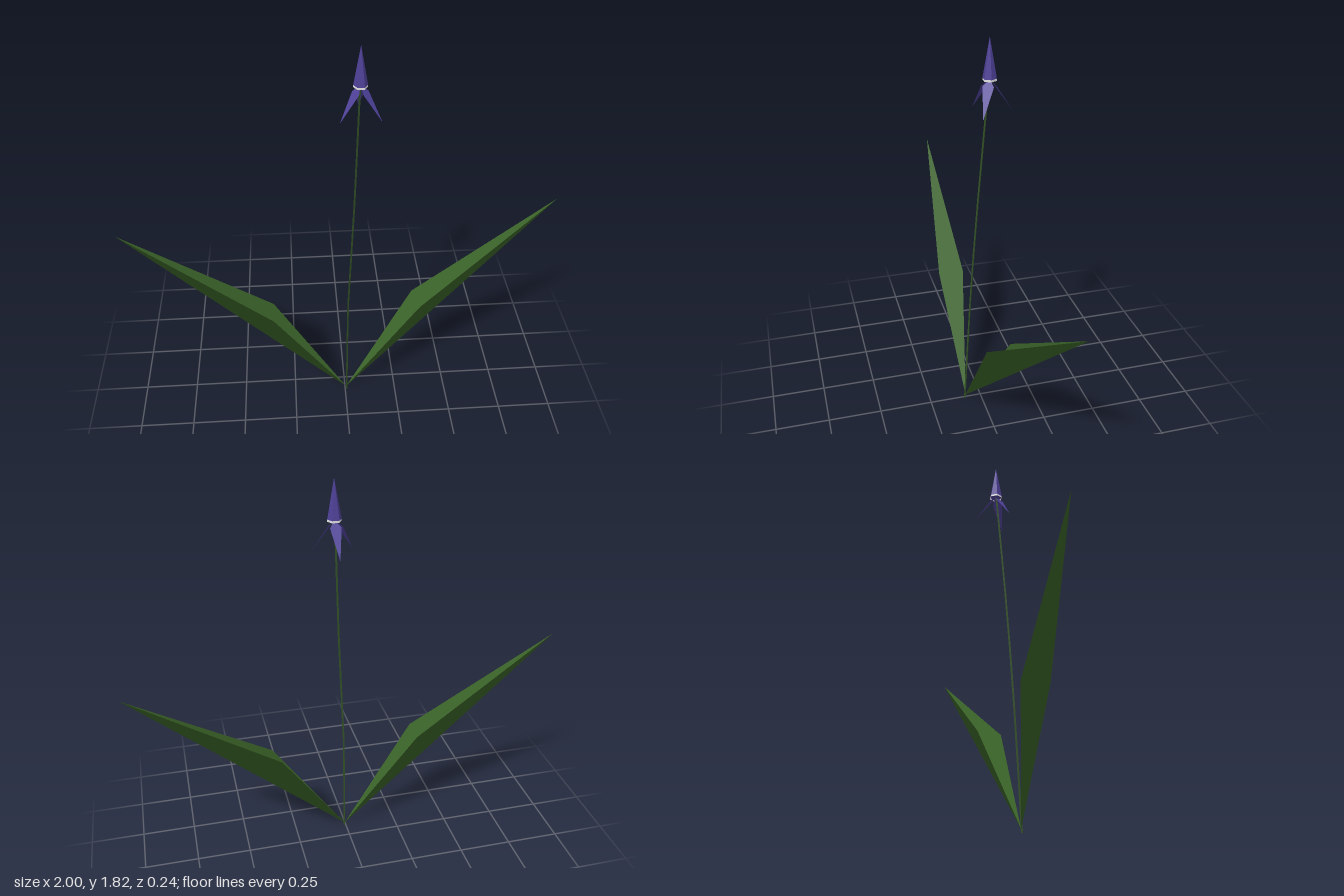
import * as THREE from 'three';

const v = (x, y, z) => new THREE.Vector3(x, y, z);
const mat = (name, color) => {
  const m = new THREE.MeshStandardMaterial({ color, side: THREE.DoubleSide });
  m.name = name;
  return m;
};

// Two triangles folded along the root-tip line, sharing one upward normal
function foldedBlade(root, edgeA, tip, edgeB) {
  const normal = tip.clone().sub(root).cross(edgeB.clone().sub(edgeA)).normalize();
  const upward = normal.y > 0;
  if (!upward) normal.negate();
  normal.y += 0.15;
  normal.normalize();
  const corners = [root, edgeA, tip, edgeB];
  const g = new THREE.BufferGeometry();
  g.setAttribute('position', new THREE.Float32BufferAttribute(corners.flatMap(p => p.toArray()), 3));
  g.setAttribute('normal', new THREE.Float32BufferAttribute(corners.flatMap(() => normal.toArray()), 3));
  g.setIndex(upward ? [0, 2, 1, 0, 3, 2] : [0, 1, 2, 0, 2, 3]);
  return g;
}

// Flat-faced version of a built-in geometry
function faceted(geometry) {
  const g = geometry.toNonIndexed();
  g.computeVertexNormals();
  return g;
}

export function createModel() {
  const model = new THREE.Group();
  const leafGreen = mat('leafGreen', 0x3a6228);
  const stemGreen = mat('stemGreen', 0x304f24);
  const petalPurple = mat('petalPurple', 0x4d3f96);
  const white = mat('white', 0xf8f6fa);

  const add = (parent, name, geometry, material) => {
    const mesh = new THREE.Mesh(geometry, material);
    mesh.name = name;
    parent.add(mesh);
    return mesh;
  };

  // Two keeled leaves rising from the foot of the stem
  const root = v(0.005, 0.015, 0.077);
  add(model, 'rightLeaf', foldedBlade(root, v(-0.335, 0.525, 0.122), v(-1, 0.985, 0.03), v(-0.335, 0.525, 0)), leafGreen);
  add(model, 'leftLeaf', foldedBlade(root, v(0.355, 0.52, 0.066), v(0.995, 0.985, -0.12), v(0.33, 0.525, -0.05)), leafGreen);

  // Thin three-sided stem
  const path = new THREE.CatmullRomCurve3([
    v(0.007, 0, 0.08), v(0.014, 0.53, 0.053), v(0.038, 1.0, 0.027), v(0.064, 1.64, -0.02)]);
  add(model, 'stem', faceted(new THREE.TubeGeometry(path, 6, 0.005, 3)), stemGreen);

  // Flower head
  const flower = new THREE.Group();
  flower.name = 'flower';
  flower.position.set(0.067, 1.64, -0.021);
  model.add(flower);

  // Upright petals closed into a narrow point
  const upright = add(flower, 'uprightPetals', faceted(new THREE.ConeGeometry(0.03, 0.17, 6)), petalPurple);
  upright.position.y = 0.092;
  upright.rotation.y = Math.PI / 6;

  // Narrow white band at the throat
  const throat = add(flower, 'throat', faceted(new THREE.CylinderGeometry(0.03, 0.03, 0.009, 6, 1, true)), white);
  throat.position.y = 0.003;
  throat.rotation.y = Math.PI / 6;

  // Three drooping petals, one pointing back
  for (let i = 0; i < 3; i++) {
    const petal = foldedBlade(v(0, 0.004, 0), v(-0.024, -0.022, -0.024), v(0, -0.137, -0.1), v(0.024, -0.022, -0.024));
    add(flower, 'droopingPetal', petal, petalPurple).rotation.y = i * Math.PI * 2 / 3;
  }
  return model;
}
